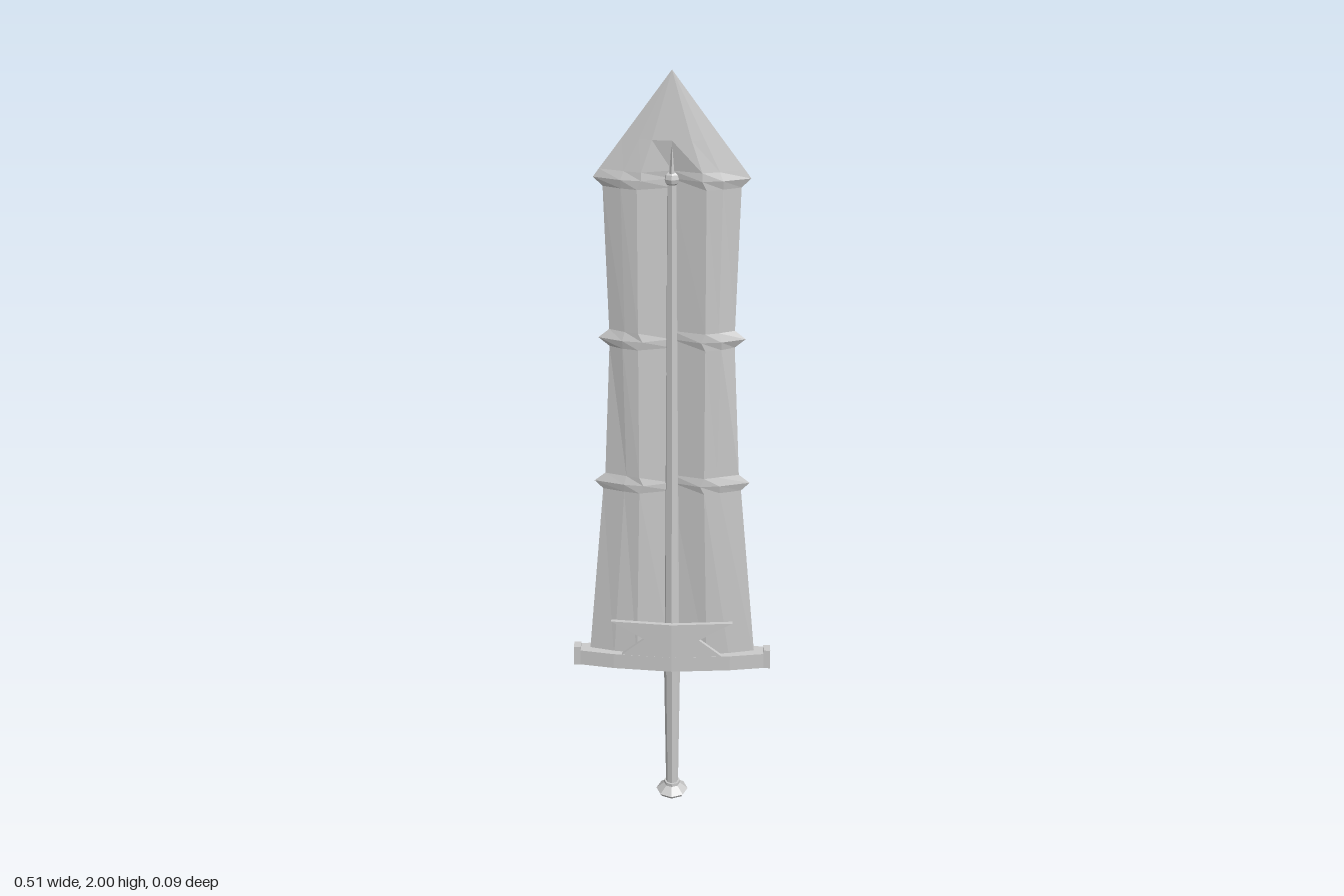
import * as THREE from 'three';

const mat = new THREE.MeshStandardMaterial({ color: 0xcccccc, flatShading: true, side: THREE.DoubleSide });

function add(parent, name, geometry, x = 0, y = 0, z = 0) {
  const mesh = new THREE.Mesh(geometry, mat);
  mesh.name = name;
  mesh.position.set(x, y, z);
  parent.add(mesh);
  return mesh;
}

// Skin a closed stack of equal-length rings
function loft(rings) {
  const n = rings[0].length, index = [];
  for (let i = 0; i < rings.length - 1; i++) {
    for (let j = 0; j < n; j++) {
      const a = i * n + j, b = i * n + (j + 1) % n;
      index.push(a, b, a + n, b, b + n, a + n);
    }
  }
  for (let j = 1; j < n - 1; j++) index.push(0, j + 1, j);
  const g = new THREE.BufferGeometry();
  g.setAttribute('position', new THREE.Float32BufferAttribute(rings.flat(2), 3));
  g.setIndex(index);
  const flat = g.toNonIndexed();
  flat.computeVertexNormals();
  return flat;
}

// Blade section: hollow centre, ridge, bevel and sharp edge
function bladeRing([y, edge, ridge, bevel, zRidge, zBevel, zCentre]) {
  const quarter = [[0, zCentre], [ridge, zRidge], [bevel, zBevel], [edge, 0]];
  const right = [...quarter, ...quarter.slice(0, 3).reverse().map(([x, z]) => [x, -z])];
  const left = right.slice(1, -1).reverse().map(([x, z]) => [-x, z]);
  return [...right, ...left].map(([x, z]) => [x, y, z]);
}

function createBlade() {
  // y, edge x, ridge x, bevel x, ridge z, bevel z, centre z
  const levels = [[0.43, 0.214, 0.09, 0.15, 0.022, 0.015, 0.006]];
  // Barbs stand out of the edge at three heights
  for (const [y, below, barb, above] of [[0.95, 0.171, 0.192, 0.165], [1.34, 0.15, 0.176, 0.15], [1.745, 0.16, 0.182, 0.164]]) {
    levels.push([y - 0.022, below, 0.08, 0.118, 0.025, 0.016, 0.006]);
    levels.push([y, barb, 0.07, 0.118, 0.027, 0.021, 0.006]);
    if (y < 1.7) levels.push([y + 0.022, above, 0.08, 0.112, 0.025, 0.016, 0.006]);
  }
  // Point, where the hollow runs out
  levels.push([1.765, 0.168, 0.07, 0.11, 0.025, 0.016, 0.008]);
  levels.push([1.84, 0.114, 0.045, 0.075, 0.017, 0.011, 0.017]);
  levels.push([2.0, 0, 0, 0, 0, 0, 0]);
  return loft(levels.map(bladeRing));
}

// One half of the swept guard plate, sloping back away from the middle
function plateHalf(side) {
  const pts = [[0, 0.45], [0.135, 0.45], [0.07, 0.507], [0.155, 0.555], [0, 0.555]];
  const shape = new THREE.Shape(pts.map(([x, y]) => new THREE.Vector2(x * side, y)));
  const g = new THREE.ExtrudeGeometry(shape, { depth: 0.01, bevelEnabled: false });
  const p = g.attributes.position;
  for (let i = 0; i < p.count; i++) p.setZ(i, p.getZ(i) + 0.033 - 0.085 * Math.abs(p.getX(i)));
  g.computeVertexNormals();
  return g;
}

export function createModel() {
  const sword = new THREE.Group();
  sword.name = 'greatsword';

  add(sword, 'blade', createBlade());

  // Rod along the hollow, ending in a small knob
  add(sword, 'bladeRod', new THREE.CylinderGeometry(0.014, 0.023, 1.3, 8), 0, 1.09, 0);
  add(sword, 'rodKnob', new THREE.SphereGeometry(0.021, 8, 6), 0, 1.745, 0);
  add(sword, 'rodTip', new THREE.ConeGeometry(0.006, 0.08, 4), 0, 1.8, 0.014);
  add(sword, 'rodTip', new THREE.ConeGeometry(0.006, 0.08, 4), 0, 1.8, -0.014);

  // Crossguard
  const guard = new THREE.Group();
  guard.name = 'crossguard';
  sword.add(guard);
  const half = [[0.237, 0.017], [0.15, 0.031], [0, 0.043], [-0.15, 0.031], [-0.237, 0.017]];
  const outline = [...half, ...half.map(([x, z]) => [-x, -z])];
  const bar = new THREE.ExtrudeGeometry(new THREE.Shape(outline.map((p) => new THREE.Vector2(...p))), { depth: 0.043, bevelEnabled: false });
  bar.rotateX(-Math.PI / 2);
  add(guard, 'guardBar', bar, 0, 0.413, 0);
  for (const side of [-1, 1]) {
    add(guard, 'guardEnd', new THREE.BoxGeometry(0.018, 0.054, 0.027), side * 0.245, 0.437, 0);
    add(guard, 'frontPlate', plateHalf(side));
    add(guard, 'backPlate', plateHalf(side)).rotation.y = Math.PI;
  }

  // Grip and flared pommel
  add(sword, 'grip', new THREE.CylinderGeometry(0.021, 0.016, 0.39, 8), 0, 0.22, 0);
  const pommel = [[0, 0], [0.036, 0], [0.042, 0.009], [0.021, 0.027], [0.021, 0.036], [0, 0.036]];
  add(sword, 'pommel', new THREE.LatheGeometry(pommel.map((p) => new THREE.Vector2(...p)), 8));

  return sword;
}
